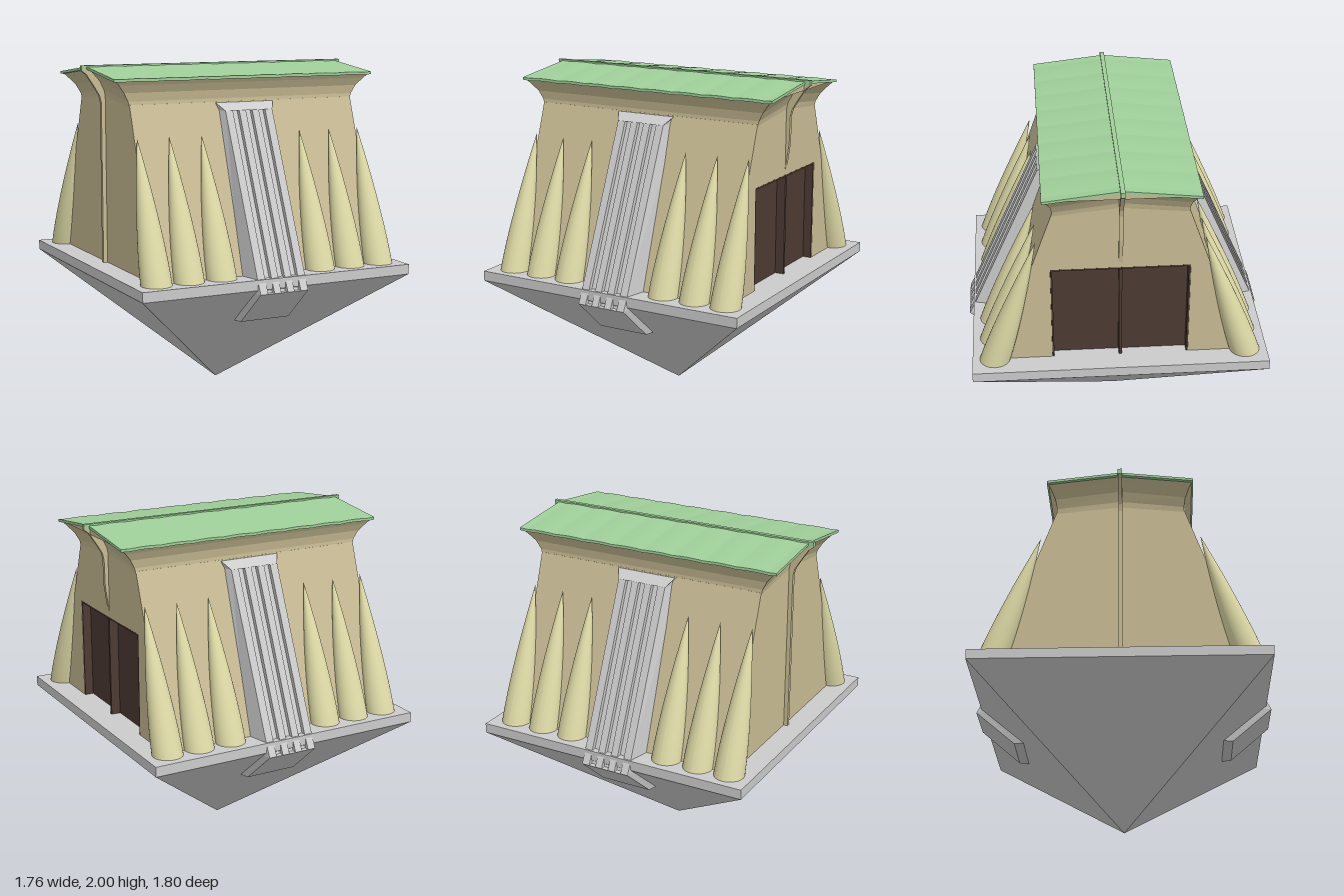
import * as THREE from 'three';

const mat = (color, flatShading = true) =>
  new THREE.MeshStandardMaterial({ color, flatShading, side: THREE.DoubleSide });
const stone = mat(0xcccccc);
const sand = mat(0xc8bc94);
const reed = mat(0xdcd8a5, false);
const green = mat(0x9fcf99);
const wood = mat(0x4c3a33);

function add(parent, name, geometry, material, x = 0, y = 0, z = 0) {
  const mesh = new THREE.Mesh(geometry, material);
  mesh.name = name;
  mesh.position.set(x, y, z);
  parent.add(mesh);
  return mesh;
}

const box = (w, h, d) => new THREE.BoxGeometry(w, h, d);

// Joins rings of equal length into a closed skin, with flat end caps
function loft(rings) {
  const n = rings[0].length;
  const index = [];
  for (let r = 0; r < rings.length - 1; r++) {
    for (let i = 0; i < n; i++) {
      const j = (i + 1) % n;
      const a = r * n + i, b = r * n + j, c = b + n, d = a + n;
      index.push(a, b, c, a, c, d);
    }
  }
  const last = (rings.length - 1) * n;
  for (let i = 1; i < n - 1; i++) {
    index.push(0, i + 1, i, last, last + i, last + i + 1);
  }
  const g = new THREE.BufferGeometry();
  g.setAttribute('position', new THREE.Float32BufferAttribute(rings.flat(2), 3));
  g.setIndex(index);
  const flat = g.toNonIndexed();
  flat.computeVertexNormals();
  return flat;
}

// Extrudes a (z, y) outline along x, from x0 to x1
function extrudeX(points, x0, x1) {
  const shape = new THREE.Shape(points.map(p => new THREE.Vector2(...p)));
  const g = new THREE.ExtrudeGeometry(shape, { depth: x1 - x0, bevelEnabled: false });
  return g.rotateY(Math.PI / 2).translate(x0, 0, 0);
}

// Ribbed sloping buttress that hooks over the platform edge
function buttressGeometry() {
  // inner z, inner y, outer z, outer y, inner half width, outer half width, slot depth
  const stations = [
    [0.36, 1.785, 0.39, 1.785, 0.19, 0.19, 0],
    [0.36, 1.745, 0.45, 1.74, 0.19, 0.155, 0],
    [0.36, 1.744, 0.45, 1.739, 0.19, 0.155, 0.03],
    [0.70, 0.81, 0.86, 0.81, 0.19, 0.155, 0.03],
    [0.80, 0.77, 0.89, 0.75, 0.175, 0.155, 0.03],
    [0.84, 0.73, 0.90, 0.73, 0.165, 0.155, 0.03],
    [0.84, 0.729, 0.90, 0.729, 0.165, 0.155, 0],
    [0.58, 0.52, 0.66, 0.52, 0.178, 0.16, 0],
  ];
  return loft(stations.map(([iz, iy, oz, oy, iw, ow, slot]) => {
    const t = 1 - slot / Math.hypot(oz - iz, oy - iy);
    const at = (x, k) => [x, iy + (oy - iy) * k, iz + (oz - iz) * k];
    const ring = [at(iw, 0), at(ow, 1)];
    for (const c of [0.086, 0, -0.086]) {
      ring.push(at(c + 0.021, 1), at(c + 0.021, t), at(c - 0.021, t), at(c - 0.021, 1));
    }
    ring.push(at(-ow, 1), at(-iw, 0));
    return ring;
  }));
}

// Leaning pointed spike with a bulging outline
function spikeGeometry() {
  const height = 0.8, profile = [];
  for (let i = 0; i <= 12; i++) {
    const u = i / 12;
    profile.push(new THREE.Vector2(0.09 * (1 - u ** 1.5), u * height));
  }
  const g = new THREE.LatheGeometry(profile, 32);
  const p = g.attributes.position;
  for (let i = 0; i < p.count; i++) p.setZ(i, p.getZ(i) - 0.26 * p.getY(i) / height);
  g.computeVertexNormals();
  return g;
}

// Shallow gabled roof sheet with gentle corrugation
function roofGeometry() {
  const g = new THREE.BoxGeometry(1.7, 0.016, 0.88, 68, 1, 2);
  const p = g.attributes.position;
  for (let i = 0; i < p.count; i++) {
    const wave = 0.004 * Math.abs(Math.sin(p.getX(i) * Math.PI / 0.2));
    p.setY(i, p.getY(i) + 1.982 - 0.05 * Math.abs(p.getZ(i)) / 0.44 + wave);
  }
  g.computeVertexNormals();
  return g;
}

// Thin strip wrapping the cornice and running down an end wall
function stripGeometry(tail) {
  const outline = [
    [0.70, 1.998], [0.88, 1.998], [0.88, 1.968], [0.85, 1.945], [0.80, 1.87],
    [0.77, 1.82], [0.76, 1.78], ...tail,
  ];
  const shape = new THREE.Shape(outline.map(p => new THREE.Vector2(...p)));
  return new THREE.ExtrudeGeometry(shape, { depth: 0.024, bevelEnabled: false })
    .translate(0, 0, -0.012);
}

export function createModel() {
  const model = new THREE.Group();
  model.name = 'temple';

  // Platform on an inverted pyramid
  add(model, 'platform', box(1.74, 0.06, 1.74), stone, 0, 0.78, 0);
  const pyramid = new THREE.CylinderGeometry(0.87 * Math.SQRT2, 0, 0.75, 4, 1, true)
    .rotateY(Math.PI / 4);
  add(model, 'invertedPyramid', pyramid, stone, 0, 0.375, 0);

  // Hall with battered long walls; the +x end wall has the doorway
  const roofLine = [[0.385, 1.79], [0, 1.83], [-0.385, 1.79], [-0.73, 0.81]];
  add(model, 'hall', extrudeX([[0.73, 0.81], ...roofLine], -0.735, 0.67), sand);
  const doorway = [[-0.4, 0.81], [-0.4, 1.425], [0.4, 1.425], [0.4, 0.81]];
  add(model, 'doorWall', extrudeX([[0.73, 0.81], ...roofLine, ...doorway], 0.67, 0.735), sand);

  // Flared cornice following the gable
  const cornice = [
    [0.735, 0.385, 1.78, 0.04], [0.742, 0.383, 1.81, 0.045],
    [0.77, 0.392, 1.86, 0.05], [0.81, 0.415, 1.905, 0.05], [0.845, 0.438, 1.94, 0.05],
  ].map(([x, z, y, rise]) => [
    [x, y, z], [x, y + rise, 0], [x, y, -z], [-x, y, -z], [-x, y + rise, 0], [-x, y, z],
  ]);
  add(model, 'cornice', loft(cornice), sand);

  // Double door
  const door = new THREE.Group();
  door.name = 'door';
  model.add(door);
  for (const s of [1, -1]) {
    add(door, 'doorLeaf', box(0.01, 0.615, 0.395), wood, 0.676, 1.1175, s * 0.1995);
    add(door, 'doorJamb', box(0.06, 0.615, 0.01), wood, 0.704, 1.1175, s * 0.394);
  }
  add(door, 'doorLintel', box(0.06, 0.01, 0.78), wood, 0.704, 1.419, 0);
  add(door, 'doorPost', box(0.06, 0.605, 0.018), wood, 0.706, 1.1125, 0);

  // Roof, ridge and end strips
  add(model, 'roof', roofGeometry(), green);
  add(model, 'ridge', box(1.762, 0.03, 0.026), green, 0, 1.985, 0);
  add(model, 'doorEndStrip',
    stripGeometry([[0.757, 1.62], [0.735, 1.46], [0.70, 1.46]]), sand);
  add(model, 'plainEndStrip', stripGeometry([[0.76, 0.81], [0.70, 0.81]]), sand)
    .rotation.y = Math.PI;

  // Front and back: a buttress between two rows of three spikes
  const buttress = buttressGeometry();
  const spike = spikeGeometry();
  for (const side of ['front', 'back']) {
    const half = new THREE.Group();
    half.name = side + 'Side';
    half.rotation.y = side === 'back' ? Math.PI : 0;
    model.add(half);
    add(half, side + 'Buttress', buttress, stone);
    for (const x of [-0.73, -0.53, -0.325, 0.325, 0.53, 0.73]) {
      add(half, side + 'Spike', spike, reed, x, 0.81, 0.738);
    }
  }
  return model;
}
